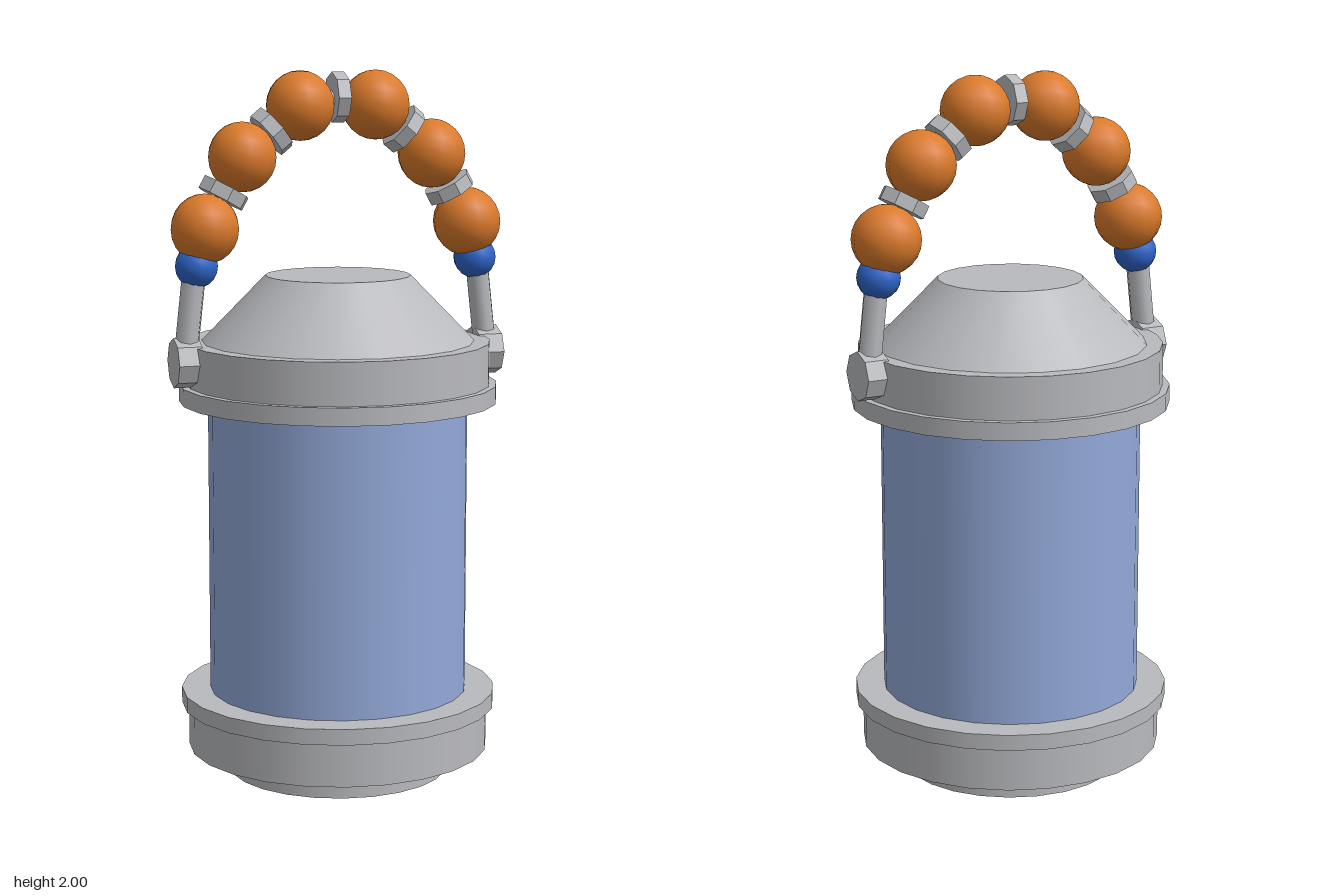
import * as THREE from 'three';
import { toCreasedNormals } from 'three/addons/utils/BufferGeometryUtils.js';

const material = (name, color) => {
  const m = new THREE.MeshStandardMaterial({ color });
  m.name = name;
  return m;
};

export function createModel() {
  const metal = material('grey metal', 0xb9babe);
  const glass = material('blue glass', 0x93a9d9);
  const orange = material('orange bead', 0xdb7a2b);
  const blue = material('blue bead', 0x2f66cc);

  const model = new THREE.Group();
  model.name = 'lantern';
  const add = (name, geometry, mat, parent = model) => {
    const mesh = new THREE.Mesh(geometry, mat);
    mesh.name = name;
    parent.add(mesh);
    return mesh;
  };

  // Stacked round body: name, bottom radius, top radius, bottom y, top y, sides, material
  const body = [
    ['foot', 0.315, 0.315, 0, 0.07, 24, metal],
    ['base', 0.43, 0.43, 0.07, 0.195, 24, metal],
    ['baseFlange', 0.45, 0.45, 0.195, 0.24, 24, metal],
    ['glassBody', 0.368, 0.368, 0.24, 1.075, 24, glass],
    ['capFlange', 0.45, 0.45, 1.075, 1.125, 24, metal],
    ['cap', 0.43, 0.43, 1.125, 1.245, 24, metal],
    ['capCone', 0.385, 0.205, 1.245, 1.43, 20, metal],
  ];
  for (const [name, rBottom, rTop, y0, y1, sides, mat] of body) {
    add(name, new THREE.CylinderGeometry(rTop, rBottom, y1 - y0, sides), mat).position.y = (y0 + y1) / 2;
  }

  // Eight-sided faceted disc or cylinder around the y axis
  const octagon = (r, h) => toCreasedNormals(new THREE.CylinderGeometry(r, r, h, 8), 0.6);
  const up = new THREE.Vector3(0, 1, 0);
  const along = (mesh, a, b) => {
    mesh.position.copy(a).add(b).multiplyScalar(0.5);
    mesh.quaternion.setFromUnitVectors(up, b.clone().sub(a).normalize());
    return mesh;
  };
  const point = (x, y) => new THREE.Vector3(x, y, 0);

  // Beaded handle, mirrored left and right
  const handle = new THREE.Group();
  handle.name = 'handle';
  model.add(handle);
  const beadGeo = new THREE.SphereGeometry(0.097, 12, 12);
  const endGeo = new THREE.SphereGeometry(0.061, 12, 10);
  for (const s of [1, -1]) {
    const side = s > 0 ? 'left' : 'right';
    const beads = [point(s * 0.11, 1.903), point(s * 0.277, 1.765), point(s * 0.385, 1.57)];
    beads.forEach((p, i) => {
      add(side + 'Bead' + (i + 1), beadGeo, orange, handle).position.copy(p);
      if (i > 0) {
        along(add(side + 'Spacer' + i, octagon(0.07, 0.038), metal, handle), beads[i - 1], p);
        along(add(side + 'Link' + i, new THREE.CylinderGeometry(0.03, 0.03, 0.08, 8), metal, handle), beads[i - 1], p);
      }
    });
    add(side + 'EndBead', endGeo, blue, handle).position.set(s * 0.41, 1.468, 0);

    // Arm and pivot fixing the handle to the cap
    const top = point(s * 0.417, 1.45), bottom = point(s * 0.445, 1.2);
    along(add(side + 'Arm', new THREE.CylinderGeometry(0.034, 0.034, top.distanceTo(bottom), 8), metal, handle), bottom, top);
    const pivot = add(side + 'Pivot', octagon(0.07, 0.07), metal, handle);
    pivot.position.set(s * 0.443, 1.2, 0);
    pivot.rotation.z = Math.PI / 2;
  }

  // Centre spacer and its link
  along(add('centreSpacer', octagon(0.07, 0.036), metal, handle), point(-0.1, 1.925), point(0.1, 1.925));
  along(add('centreLink', new THREE.CylinderGeometry(0.028, 0.028, 0.08, 8), metal, handle), point(-0.1, 1.915), point(0.1, 1.915));

  return model;
}
